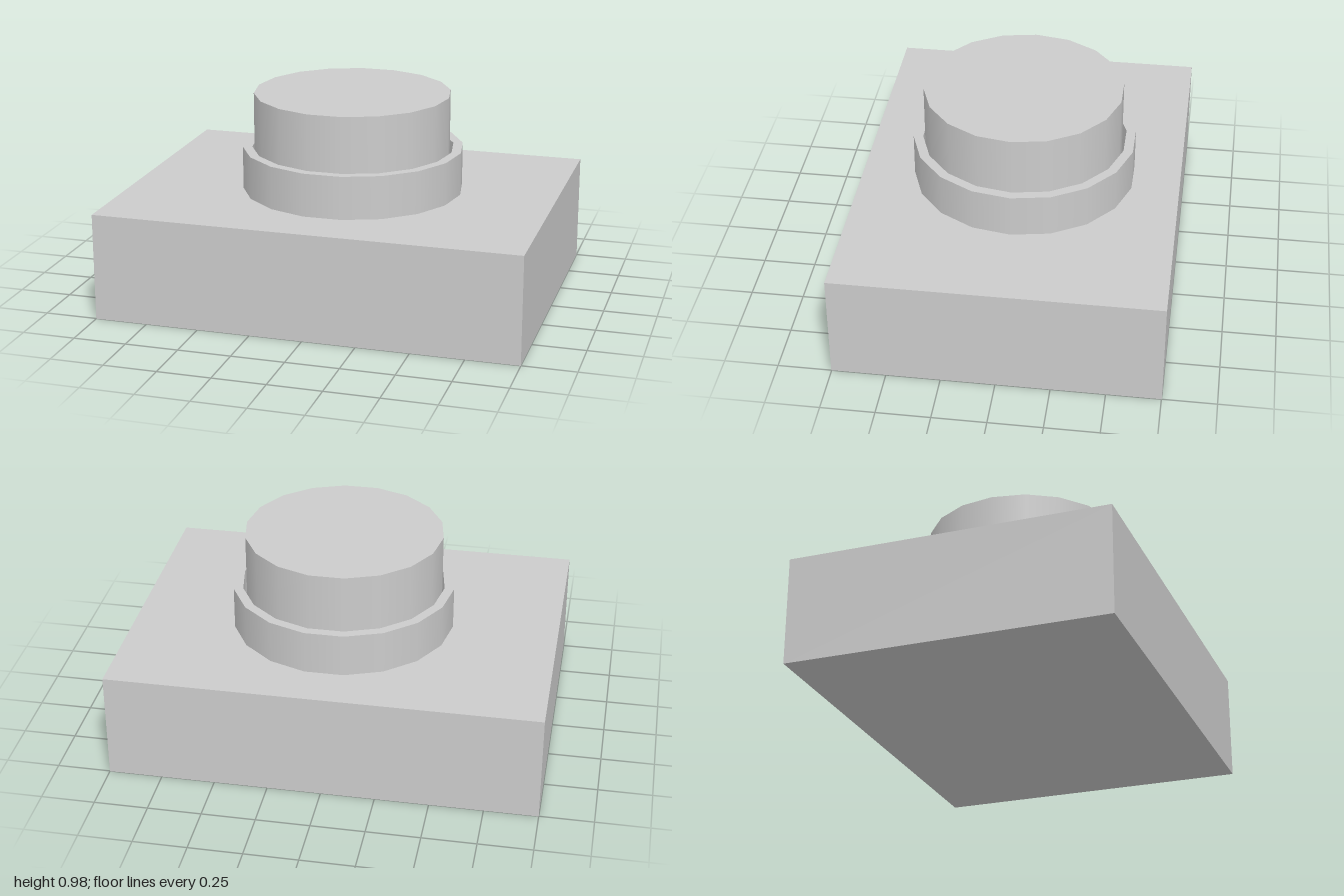
import * as THREE from 'three';

const SIDES = 18;
const BASE_TOP = 0.508, RING_TOP = 0.712, BUTTON_TOP = 0.975;

export function createModel() {
  const model = new THREE.Group();
  const grey = new THREE.MeshStandardMaterial({ color: 0xcccccc });
  const inside = new THREE.MeshStandardMaterial({ color: 0xcccccc, side: THREE.BackSide });

  const add = (parent, name, geometry, material, x, y, z) => {
    const mesh = new THREE.Mesh(geometry, material);
    mesh.name = name;
    mesh.position.set(x, y, z);
    parent.add(mesh);
    return mesh;
  };
  // Upright 18-sided cylinder with a corner on the x axis
  const drum = (radius, height, open) =>
    new THREE.CylinderGeometry(radius, radius, height, SIDES, 1, open, Math.PI / 2);

  // Rectangular housing
  add(model, 'base', new THREE.BoxGeometry(2, BASE_TOP, 1.504), grey, 0, BASE_TOP / 2, 0);

  // Collar: outer wall, inner wall and flat rim
  const collar = new THREE.Group();
  collar.name = 'collar';
  collar.position.set(0.023, 0, -0.01);
  model.add(collar);
  const ringHeight = RING_TOP - BASE_TOP;
  const ringY = BASE_TOP + ringHeight / 2;
  add(collar, 'collarOuterWall', drum(0.525, ringHeight, true), grey, 0, ringY, 0);
  add(collar, 'collarInnerWall', drum(0.48, ringHeight, true), inside, 0, ringY, 0);
  const rim = new THREE.RingGeometry(0.48, 0.525, SIDES).rotateX(-Math.PI / 2);
  add(collar, 'collarRim', rim, grey, 0, RING_TOP, 0);

  // Push button standing inside the collar
  const buttonHeight = BUTTON_TOP - BASE_TOP;
  add(model, 'button', drum(0.466, buttonHeight, false), grey,
    0.021, BASE_TOP + buttonHeight / 2, -0.005);

  return model;
}
